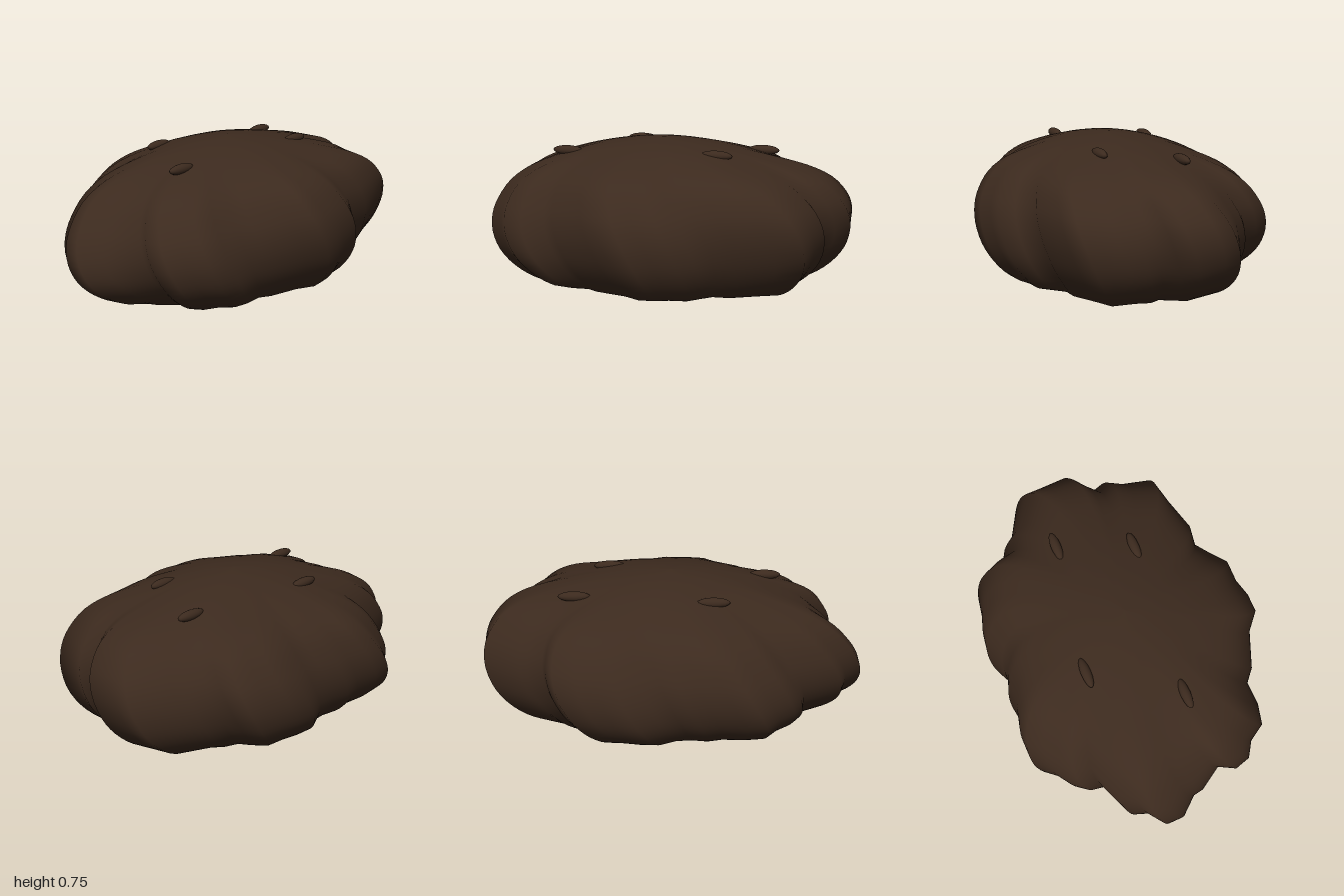
import * as THREE from 'three';

// Widest outline of the body as (x, z) pairs, running from +x towards +z
const OUTLINE = [
  1, -0.02, 0.93, 0.05, 0.87, 0.12, 0.9, 0.2, 0.86, 0.29, 0.83, 0.45, 0.69, 0.49, 0.5, 0.555,
  0.38, 0.545, 0.3, 0.61, 0.22, 0.68, 0.1, 0.685, 0, 0.715, -0.1, 0.72, -0.2, 0.645, -0.4, 0.575,
  -0.47, 0.52, -0.6, 0.525, -0.71, 0.5, -0.77, 0.41, -0.85, 0.36, -0.875, 0.28, -0.83, 0.19,
  -0.91, 0.06, -0.92, 0, -1, -0.1, -1, -0.18, -0.91, -0.25, -0.88, -0.33, -0.67, -0.42,
  -0.65, -0.51, -0.6, -0.57, -0.51, -0.63, -0.44, -0.705, -0.33, -0.71, -0.2, -0.685, -0.1, -0.7,
  0, -0.67, 0.1, -0.67, 0.22, -0.72, 0.33, -0.705, 0.43, -0.675, 0.55, -0.655, 0.6, -0.57,
  0.63, -0.485, 0.72, -0.44, 0.77, -0.38, 0.97, -0.27, 0.98, -0.18,
];

// Half section: share of the outline's radius, and height
const PROFILE = [
  [0, 0.018], [0.4, 0.008], [0.7, 0.005], [0.8, 0.027], [0.9, 0.095], [0.97, 0.18], [1, 0.28],
  [0.99, 0.37], [0.95, 0.45], [0.87, 0.54], [0.75, 0.61], [0.58, 0.665], [0.4, 0.708],
  [0.2, 0.74], [0, 0.755],
];
const HEIGHT = 0.755;
const RADIUS_X = 0.93;
const RADIUS_Z = 0.7;
const TWIST = 0.4;

// Lobed, flat-bottomed mound: the lobes twist gently with height and fade near the axis
function moundGeometry() {
  const curve = new THREE.SplineCurve(PROFILE.map(([s, y]) => new THREE.Vector2(s, y)));
  const rings = curve.getPoints(42);
  const n = OUTLINE.length / 2;
  const positions = [];
  const index = [];
  rings.forEach((ring, i) => {
    const s = Math.max(0, Math.min(1, ring.x));
    const fade = THREE.MathUtils.smoothstep(s, 0.2, 0.93);
    const bulge = Math.sin(Math.PI * THREE.MathUtils.clamp(ring.y / HEIGHT, 0, 1));
    const turn = TWIST * (ring.y - 0.3) / HEIGHT;
    for (let j = 0; j < n; j++) {
      const u = OUTLINE[j * 2] / RADIUS_X;
      const v = OUTLINE[j * 2 + 1] / RADIUS_Z;
      const radius = s * THREE.MathUtils.lerp(1, Math.hypot(u, v), fade);
      const angle = Math.atan2(v, u) + turn;
      const x = RADIUS_X * radius * Math.cos(angle);
      const z = RADIUS_Z * radius * Math.sin(angle);
      // The widest line sits lower at the back and on the -x side
      const tilt = (0.04 * x + 0.035 * z) * bulge;
      positions.push(x, Math.max(0, ring.y + tilt), z);
      if (i < rings.length - 1) {
        const a = i * n + j;
        const b = i * n + ((j + 1) % n);
        index.push(a, a + n, b, b, a + n, b + n);
      }
    }
  });
  const geometry = new THREE.BufferGeometry();
  geometry.setAttribute('position', new THREE.Float32BufferAttribute(positions, 3));
  geometry.setIndex(index);
  geometry.computeVertexNormals();
  return geometry;
}

export function createModel() {
  const model = new THREE.Group();
  const darkBrown = new THREE.MeshStandardMaterial({ color: 0x3c2a1e });
  darkBrown.name = 'darkBrown';

  const body = new THREE.Mesh(moundGeometry(), darkBrown);
  body.name = 'body';
  model.add(body);

  // Four small seeds lying along x on the crown
  const seeds = new THREE.Group();
  seeds.name = 'seeds';
  const seedGeometry = new THREE.SphereGeometry(1, 16, 10).scale(0.085, 0.026, 0.027);
  const spots = [[-0.215, 0.687, -0.3], [0.5, 0.675, -0.19], [-0.5, 0.675, 0.125], [0.335, 0.702, 0.187]];
  for (const [x, y, z] of spots) {
    const seed = new THREE.Mesh(seedGeometry, darkBrown);
    seed.name = 'seed';
    seed.position.set(x, y, z);
    seeds.add(seed);
  }
  model.add(seeds);
  return model;
}
